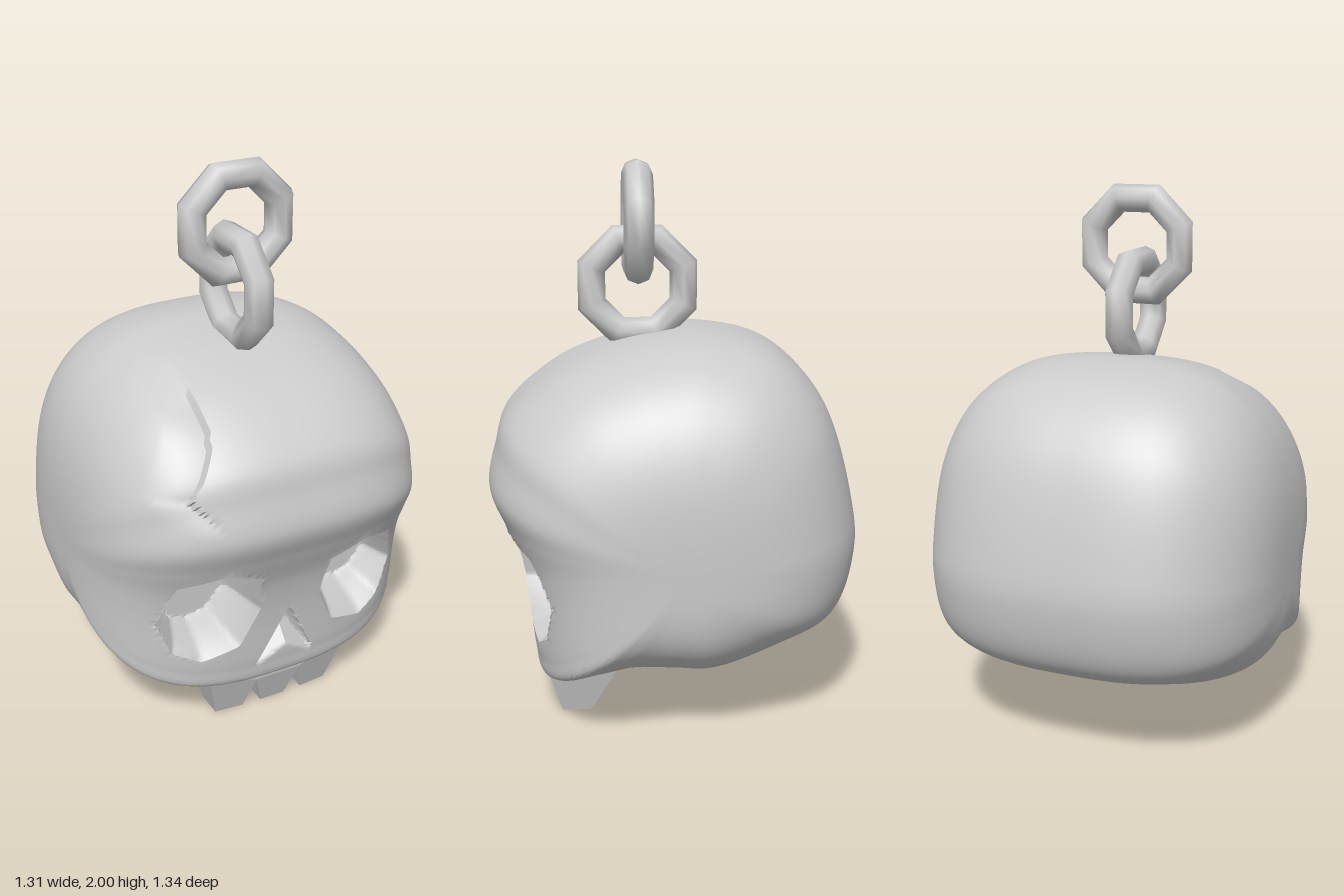
import * as THREE from 'three';
import { toCreasedNormals } from 'three/addons/utils/BufferGeometryUtils.js';

const material = new THREE.MeshStandardMaterial({ color: 0xcccccc, side: THREE.DoubleSide });
const HALF_WIDTH = 0.655, MID_Y = 0.66, POWER = 2.8;

// Side profile of the skull as [z, y], from the crown over the face and round the back
const profile = [
  [-0.12, 1.4], [0.06, 1.385], [0.2, 1.355], [0.42, 1.265], [0.61, 1.1], [0.645, 0.99], [0.67, 0.86],
  [0.625, 0.74], [0.575, 0.62], [0.55, 0.52], [0.535, 0.42], [0.525, 0.32], [0.515, 0.24], [0.495, 0.165],
  [0.36, 0.18], [0.2, 0.21], [0.03, 0.205], [-0.14, 0.2], [-0.4, 0.29], [-0.6, 0.4], [-0.67, 0.62],
  [-0.655, 0.8], [-0.54, 1.16], [-0.36, 1.34],
];
const eyeCentre = [0.3, 0.51];
const eyeRim = [[0.12, 0.5], [0.14, 0.66], [0.28, 0.71], [0.43, 0.665], [0.485, 0.49], [0.43, 0.36], [0.33, 0.31], [0.19, 0.35]];
const crack = [[-0.28, 1.34], [-0.28, 1.2], [-0.4, 1.02], [-0.3, 0.9]];

// 0 at the socket centre, 1 on its rim
function eyeGauge(x, y) {
  const px = x - eyeCentre[0], py = y - eyeCentre[1];
  return Math.max(...eyeRim.map(([ax, ay], i) => {
    const [bx, by] = eyeRim[(i + 1) % eyeRim.length];
    const nx = ay - by, ny = bx - ax;
    return (nx * px + ny * py) / (nx * (ax - eyeCentre[0]) + ny * (ay - eyeCentre[1]));
  }));
}

// Eye sockets: snap nearby points to the rim, sink the ones inside
function carveEye(p) {
  const side = p.x < 0 ? -1 : 1;
  const r = eyeGauge(Math.abs(p.x), p.y);
  if (r > 1.05) return;
  if (r > 0.95) {
    p.x = side * (eyeCentre[0] + (Math.abs(p.x) - eyeCentre[0]) / r);
    p.y = eyeCentre[1] + (p.y - eyeCentre[1]) / r;
    return;
  }
  const wall = 0.22 + 2.2 * Math.max(0, 0.5 - p.y);
  p.z = THREE.MathUtils.lerp(p.z, 0.33, Math.min(1, (1 - r) / wall));
}

// Nose: steep upper sides, floor rising forward to a notched lower edge
function carveNose(p) {
  const side = p.x < 0 ? -1 : 1, ax = Math.abs(p.x);
  if (ax > 0.16 || p.y < 0.2 || p.y > 0.5) return;
  const d = ax * 0.894 + (p.y - 0.48) * 0.447;
  if (d > 0.007) return;
  if (d > -0.007) {
    p.x = side * Math.max(0, ax - d * 0.894);
    p.y -= d * 0.447;
  } else {
    p.z -= THREE.MathUtils.clamp(p.y - 0.3 + 0.6 * ax, 0, 0.12);
  }
}

// Crack: a small step along a zigzag line on the forehead
function carveCrack(p) {
  if (p.y > 1.34 || p.y < 0.9 || p.x > 0) return;
  const i = crack.findIndex((c, k) => k < 3 && p.y <= c[1] && p.y >= crack[k + 1][1]);
  const [a, b] = [crack[i], crack[i + 1]];
  const d = THREE.MathUtils.lerp(a[0], b[0], (a[1] - p.y) / (a[1] - b[1])) - p.x;
  if (d < 0 || d > 0.13) return;
  const fade = Math.min(1, (p.y - 0.9) / 0.12, (1.34 - p.y) / 0.08);
  const push = 1 - 0.035 * (1 - d / 0.13) * fade;
  p.z *= push;
  p.y = MID_Y + (p.y - MID_Y) * push;
}

// Cranium and face: the side profile scaled along x by a rounded-cube rule
function skullGeometry() {
  const columns = 160, rows = profile.length * 10;
  const curve = new THREE.CatmullRomCurve3(
    profile.map(([z, y]) => new THREE.Vector3(0, y, z)), true, 'centripetal');
  const ring = Array.from({ length: rows }, (_, j) => curve.getPoint(j / rows));
  const positions = [], index = [];
  for (let i = 0; i <= columns; i++) {
    const angle = (i / columns - 0.5) * Math.PI;
    const c = Math.abs(Math.cos(angle)), s = Math.sin(angle);
    const n = (c ** POWER + Math.abs(s) ** POWER) ** (1 / POWER);
    const scale = c / n;
    ring.forEach((q, j) => {
      const scaleY = q.y < MID_Y ? scale ** 0.75 : scale;
      const p = new THREE.Vector3(HALF_WIDTH * s / n, MID_Y + (q.y - MID_Y) * scaleY, q.z * scale);
      if (p.z > 0.1) {
        carveEye(p);
        carveNose(p);
        carveCrack(p);
      }
      positions.push(p.x, p.y, p.z);
      if (i < columns) {
        const next = (j + 1) % rows;
        const a = i * rows + j, b = a + rows, d = i * rows + next, e = d + rows;
        index.push(d, e, b, d, b, a);
      }
    });
  }
  const geometry = new THREE.BufferGeometry();
  geometry.setAttribute('position', new THREE.Float32BufferAttribute(positions, 3));
  geometry.setIndex(index);
  return toCreasedNormals(geometry, 0.7);
}

// Upper jaw: a notched outline extruded, then tapered toward the tooth tips
function teethGeometry() {
  const half = [[0.05, 0], [0.09, 0.135], [0.125, 0], [0.235, 0], [0.29, 0.21]];
  const outline = [...half, ...half.map(([x, y]) => [-x, y]).reverse()];
  const geometry = new THREE.ExtrudeGeometry(
    new THREE.Shape(outline.map(([x, y]) => new THREE.Vector2(x, y))),
    { depth: 1, bevelEnabled: false });
  const pos = geometry.attributes.position;
  for (let i = 0; i < pos.count; i++) {
    const x = pos.getX(i), k = pos.getY(i) / 0.2;
    const front = 0.43 + 0.065 * k - 0.25 * x * x, back = 0.31 - 0.11 * k;
    pos.setZ(i, THREE.MathUtils.lerp(back, front, pos.getZ(i)));
  }
  geometry.computeVertexNormals();
  return geometry;
}

export function createModel() {
  const group = new THREE.Group();
  group.name = 'skullPendant';
  const add = (name, geometry) => {
    const mesh = new THREE.Mesh(geometry, material);
    mesh.name = name;
    group.add(mesh);
    return mesh;
  };
  add('skull', skullGeometry());
  add('teeth', teethGeometry());

  // Two interlocked octagonal chain links
  const link = () => new THREE.TorusGeometry(0.18, 0.054, 8, 8).rotateZ(Math.PI / 8);
  add('lowerLink', link().rotateY(Math.PI / 2)).position.set(0, 1.55, 0.12);
  add('upperLink', link()).position.set(0, 1.78, 0.12);
  return group;
}
